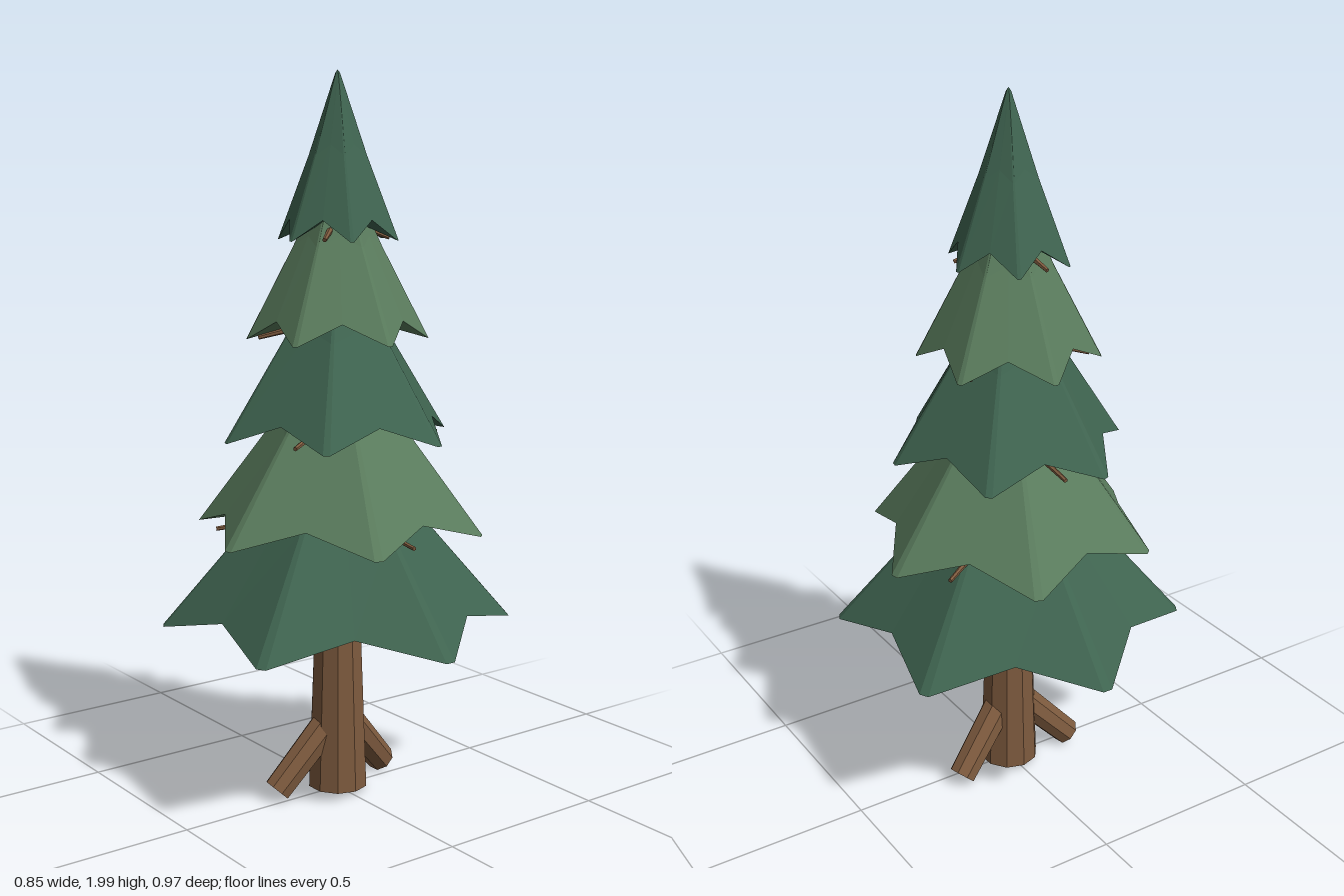
import * as THREE from 'three';

const mat = (color) => new THREE.MeshStandardMaterial({ color, flatShading: true });
const DEG = Math.PI / 180;

// Six-pointed star skirt rising to a blunt apex, closed underneath
function tierGeometry(radius, tipY, apexY, turn) {
  const drop = 0.055;
  const levels = [[1, 0], [0.48, 0.5], [0.04, 0.98]];
  const ring = ([scale, rise]) => {
    const points = [];
    for (let arm = 0; arm < 6; arm++) {
      // each arm: narrow blunt tip (two points), then a raised notch
      for (const [offset, r, lift] of [[-1.6, 1, 0], [1.6, 1, 0], [30, 0.785, drop]]) {
        const a = (turn + arm * 60 + offset) * DEG;
        const y = tipY + (apexY - tipY) * rise + lift * (1 - rise);
        points.push([Math.cos(a) * radius * r * scale, y, Math.sin(a) * radius * r * scale]);
      }
    }
    return points;
  };
  const rings = levels.map(ring);
  const n = rings[0].length;
  const apex = [0, apexY, 0];
  const under = [0, tipY + drop + 0.015, 0];
  const out = [];
  for (let i = 0; i < n; i++) {
    const j = (i + 1) % n;
    for (let k = 0; k < rings.length - 1; k++) {
      const lo = rings[k], hi = rings[k + 1];
      out.push(...lo[i], ...hi[i], ...lo[j], ...lo[j], ...hi[i], ...hi[j]);
    }
    const top = rings[rings.length - 1];
    out.push(...top[i], ...apex, ...top[j]);
    out.push(...rings[0][i], ...rings[0][j], ...under);
  }
  const geometry = new THREE.BufferGeometry();
  geometry.setAttribute('position', new THREE.Float32BufferAttribute(out, 3));
  geometry.computeVertexNormals();
  return geometry;
}

// Tapered limb between two points
function limb(name, from, to, r0, r1, sides, material) {
  const a = new THREE.Vector3(...from), b = new THREE.Vector3(...to);
  const dir = b.clone().sub(a);
  const mesh = new THREE.Mesh(new THREE.CylinderGeometry(r1, r0, dir.length(), sides), material);
  mesh.position.copy(a).add(b).multiplyScalar(0.5);
  mesh.quaternion.setFromUnitVectors(new THREE.Vector3(0, 1, 0), dir.normalize());
  mesh.name = name;
  return mesh;
}

export function createModel() {
  const tree = new THREE.Group();
  tree.name = 'pineTree';
  const bark = mat(0x7d5a3e);
  const darkGreen = mat(0x3f6450);
  const lightGreen = mat(0x5a7c5d);

  // Trunk and the two side roots
  tree.add(limb('trunk', [0, 0.02, 0], [0, 1.6, 0], 0.085, 0.025, 10, bark));
  tree.add(limb('leftRoot', [0.02, 0.22, 0], [0.19, 0.035, -0.045], 0.045, 0.04, 8, bark));
  tree.add(limb('rightRoot', [-0.02, 0.22, 0], [-0.192, 0.035, -0.025], 0.045, 0.04, 8, bark));

  // Foliage tiers: radius, tip height, apex height, turn, branch reach, branch turn
  const tiers = [
    [0.485, 0.5, 1.09, 30, 0.41, 30],
    [0.403, 0.765, 1.32, -8.5, 0.335, 90],
    [0.328, 1.025, 1.56, 11.5, 0.275, 30],
    [0.247, 1.29, 1.79, 33, 0.215, 90],
    [0.168, 1.555, 2, -6.5, 0.145, 20],
  ];
  tiers.forEach(([radius, tipY, apexY, turn, reach, branchTurn], i) => {
    const tier = new THREE.Group();
    tier.name = `tier${i + 1}`;
    const foliage = new THREE.Mesh(tierGeometry(radius, tipY, apexY, turn), i % 2 ? lightGreen : darkGreen);
    foliage.name = 'foliage';
    tier.add(foliage);
    // Three thin branches under each tier
    for (let k = 0; k < 3; k++) {
      const a = (branchTurn + k * 120) * DEG;
      const c = Math.cos(a), s = Math.sin(a);
      tier.add(limb('branch', [c * 0.03, tipY + 0.05, s * 0.03],
        [c * reach, tipY + 0.005, s * reach], 0.011, 0.006, 6, bark));
    }
    tree.add(tier);
  });
  return tree;
}
